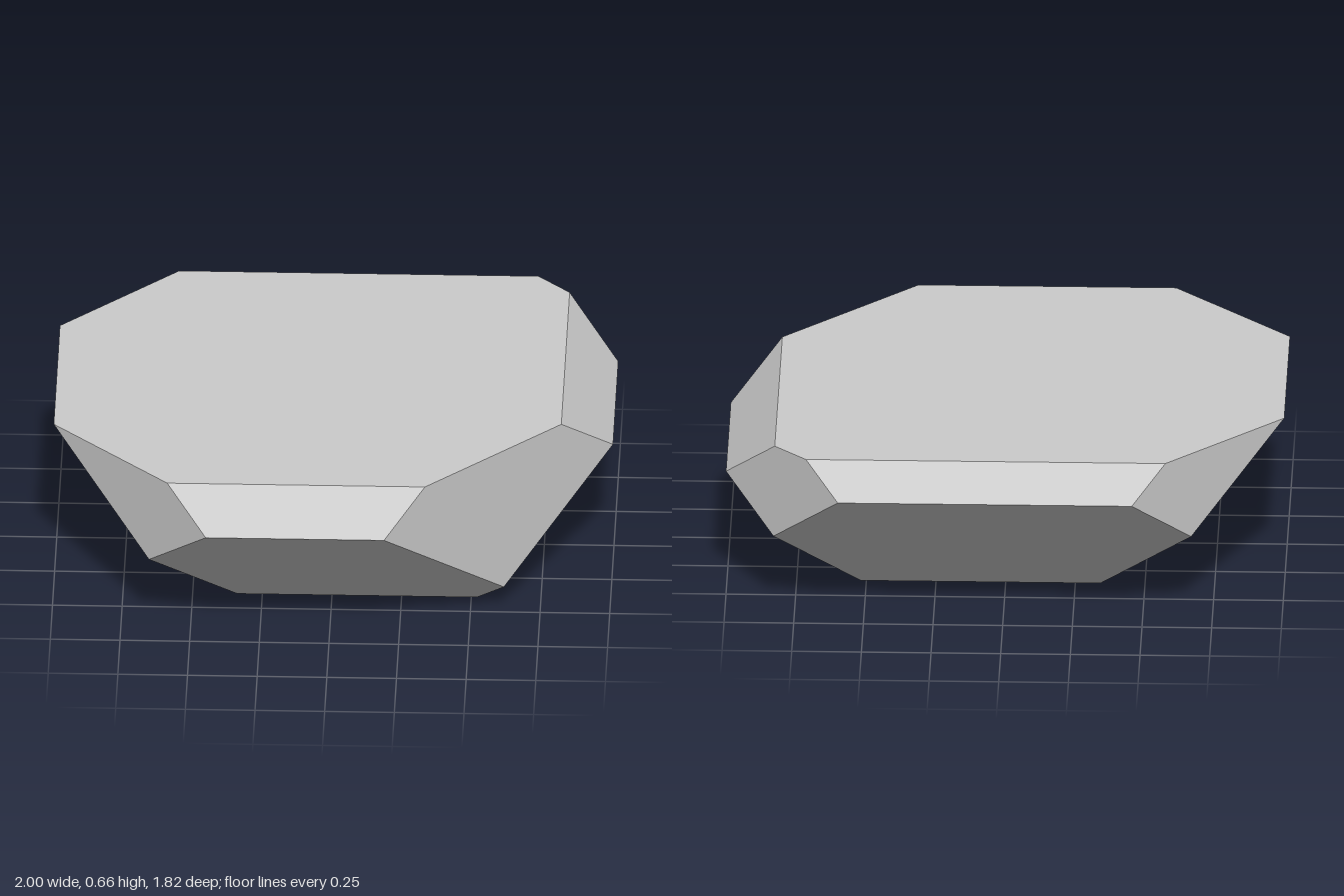
import * as THREE from 'three';
import { ConvexGeometry } from 'three/addons/geometries/ConvexGeometry.js';

// Cutting planes of the stone: [nx, ny, nz, d] keeps nx*x + ny*y + nz*z <= d
const CUTS = [
  [0, 1, 0, 0.66], [0, -1, 0, 0],            // flat top and base
  [1, 1, 0, 1.48], [1, -1, 0, 0.52],         // left side, upper and lower
  [-1, -1, 0, 0.34],                         // right side, lower
  [0, 1, 1, 1.43], [0, -1, 1, 0.395],        // front, upper and lower
  [0, 1, -1, 1.45], [0, -1, -1, 0.365],      // back, upper and lower
  [1, 0, 1, 1.115], [-1, 0, 1, 1.35],        // front corners
  [1, 0, -1, 1.495], [-1, 0, -1, 1.375],     // back corners
].map(([x, y, z, d]) => ({ n: new THREE.Vector3(x, y, z), d }));

// Corners of the solid: every meeting point of three planes that lies inside all others
function solidCorners(cuts) {
  const corners = [];
  for (let i = 0; i < cuts.length; i++)
    for (let j = i + 1; j < cuts.length; j++)
      for (let k = j + 1; k < cuts.length; k++) {
        const [a, b, c] = [cuts[i], cuts[j], cuts[k]];
        const bc = b.n.clone().cross(c.n);
        const det = a.n.dot(bc);
        if (Math.abs(det) < 1e-6) continue;
        const p = bc.multiplyScalar(a.d)
          .addScaledVector(c.n.clone().cross(a.n), b.d)
          .addScaledVector(a.n.clone().cross(b.n), c.d)
          .divideScalar(det);
        const inside = cuts.every(({ n, d }) => n.dot(p) <= d + 1e-5);
        if (inside && !corners.some((q) => q.distanceTo(p) < 1e-4)) corners.push(p);
      }
  return corners;
}

export function createModel() {
  const group = new THREE.Group();
  group.name = 'facetedStone';
  const stone = new THREE.Mesh(
    new ConvexGeometry(solidCorners(CUTS)),
    new THREE.MeshStandardMaterial({ color: 0xcccccc, flatShading: true })
  );
  stone.name = 'stone';
  group.add(stone);
  return group;
}
